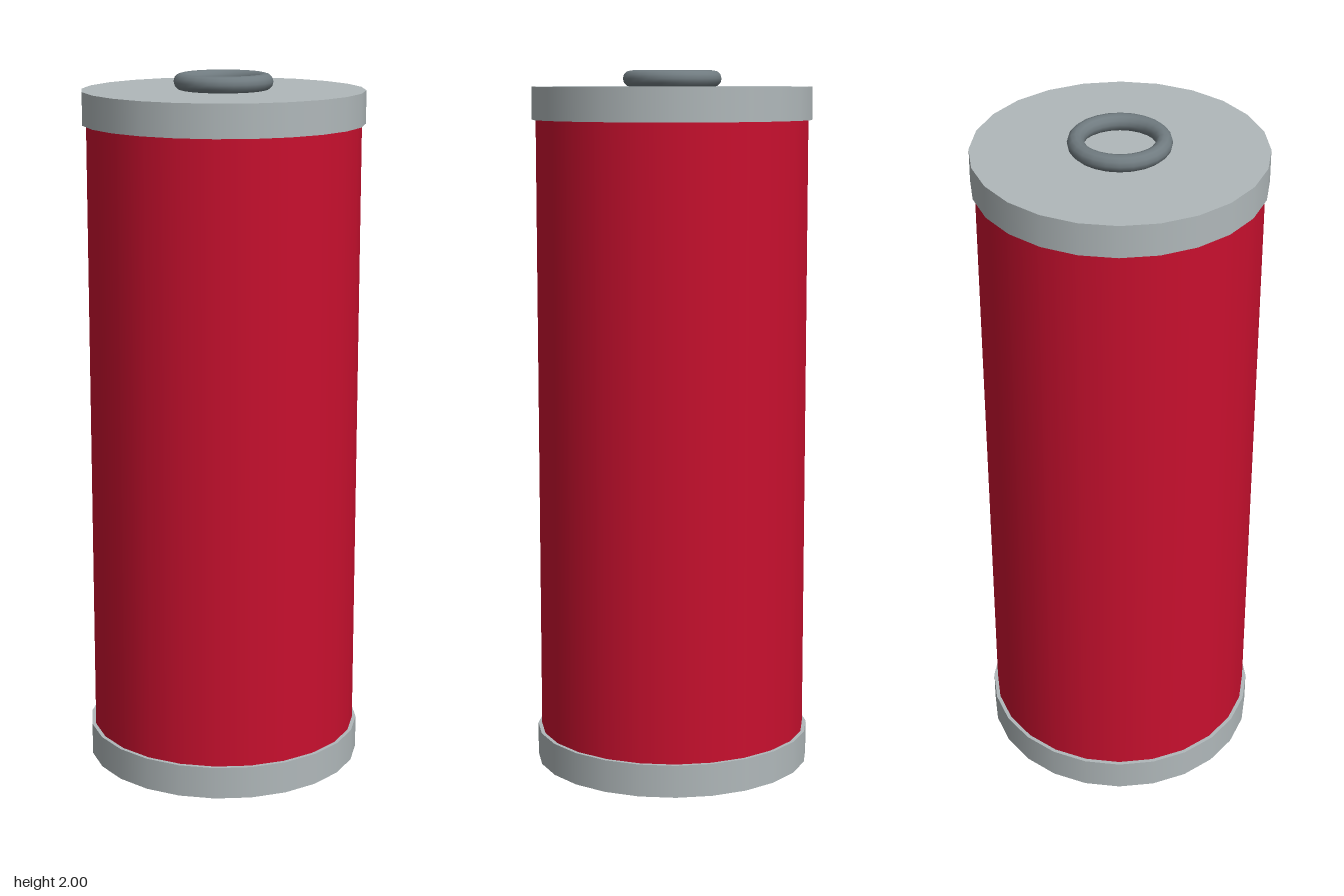
import * as THREE from 'three';

export function createModel() {
  const group = new THREE.Group();
  const red = new THREE.MeshStandardMaterial({ color: 0xc8102e });
  const silver = new THREE.MeshStandardMaterial({ color: 0xb0b8ba });
  const steel = new THREE.MeshStandardMaterial({ color: 0x707b80 });

  // Upright 24-sided cylinder between two heights
  const drum = (name, radius, y0, y1, material) => {
    const mesh = new THREE.Mesh(new THREE.CylinderGeometry(radius, radius, y1 - y0, 24), material);
    mesh.name = name;
    mesh.position.y = (y0 + y1) / 2;
    group.add(mesh);
  };

  // Canister body with a slightly wider cap at each end
  drum('body', 0.386, 0.046, 1.91, red);
  drum('bottomCap', 0.397, 0, 0.093, silver);
  drum('topCap', 0.397, 1.863, 1.955, silver);

  // Ring lying flat on the top cap
  const ring = new THREE.Mesh(new THREE.TorusGeometry(0.116, 0.0232, 12, 24), steel);
  ring.name = 'topRing';
  ring.rotation.x = Math.PI / 2;
  ring.position.y = 1.977;
  group.add(ring);

  return group;
}
